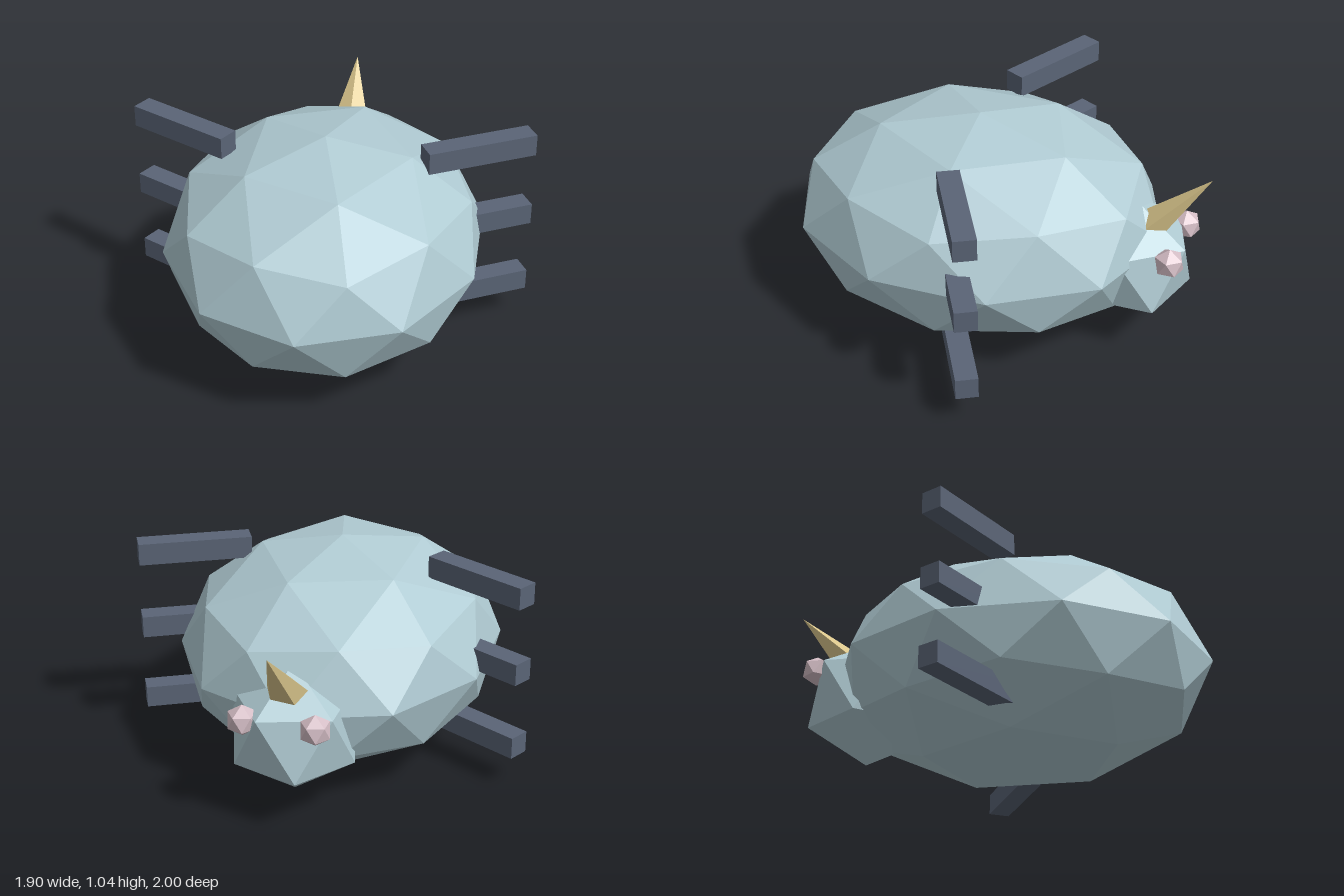
import * as THREE from 'three';

// Upright icosahedron (poles on y, one upper-ring corner on +x), optionally subdivided.
function icoGeometry(detail) {
  const pts = [0, 1, 0];
  const ring = (offset, y) => {
    for (let i = 0; i < 5; i++) {
      const a = offset + (i * Math.PI * 2) / 5;
      pts.push(0.8944 * Math.cos(a), y, -0.8944 * Math.sin(a));
    }
  };
  ring(0, 0.4472);
  ring(Math.PI / 5, -0.4472);
  pts.push(0, -1, 0);
  const faces = [];
  for (let i = 0; i < 5; i++) {
    const j = (i + 1) % 5;
    const u = 1 + i, un = 1 + j, l = 6 + i, ln = 6 + j;
    faces.push(0, u, un, u, l, un, un, l, ln, 11, ln, l);
  }
  return new THREE.PolyhedronGeometry(pts, faces, 1, detail);
}

export function createModel() {
  const group = new THREE.Group();
  const material = (name, color) => {
    const m = new THREE.MeshStandardMaterial({ color, flatShading: true });
    m.name = name;
    return m;
  };
  const skin = material('pale blue', 0xb0cbd3);
  const legGrey = material('slate grey', 0x5a6476);
  const hornTan = material('horn tan', 0xdac68c);
  const eyePink = material('eye pink', 0xd6bfc7);

  const add = (name, geometry, mat, x, y, z) => {
    geometry.computeVertexNormals();
    const mesh = new THREE.Mesh(geometry, mat);
    mesh.name = name;
    mesh.position.set(x, y, z);
    group.add(mesh);
    return mesh;
  };

  // Faceted egg-shaped shell and head
  add('body', icoGeometry(1).scale(0.757, 0.52, 0.9), skin, 0, 0.52, 0.1);
  add('head', icoGeometry(0).scale(0.315, 0.315, 0.315), skin, 0, 0.413, -0.65);

  // Five-sided horn, leaning out over the head
  const horn = new THREE.ConeGeometry(1, 0.42, 5).scale(0.112, 1, 0.084);
  horn.translate(0, -0.21, 0).rotateX(-0.737);
  add('horn', horn, hornTan, 0, 0.9, -1);

  // Mirrored eyes and three legs on each side
  for (const side of [1, -1]) {
    const label = side > 0 ? 'left' : 'right';
    add(label + 'Eye', icoGeometry(0).scale(0.074, 0.074, 0.074), eyePink, side * 0.165, 0.527, -0.864);
    [['Lower', 0.203], ['Middle', 0.578], ['Upper', 0.95]].forEach(([level, y]) => {
      const leg = add(label + level + 'Leg', new THREE.BoxGeometry(0.535, 0.104, 0.104), legGrey, side * 0.691, y, -0.038);
      leg.rotation.y = side * 0.49;
    });
  }
  return group;
}
